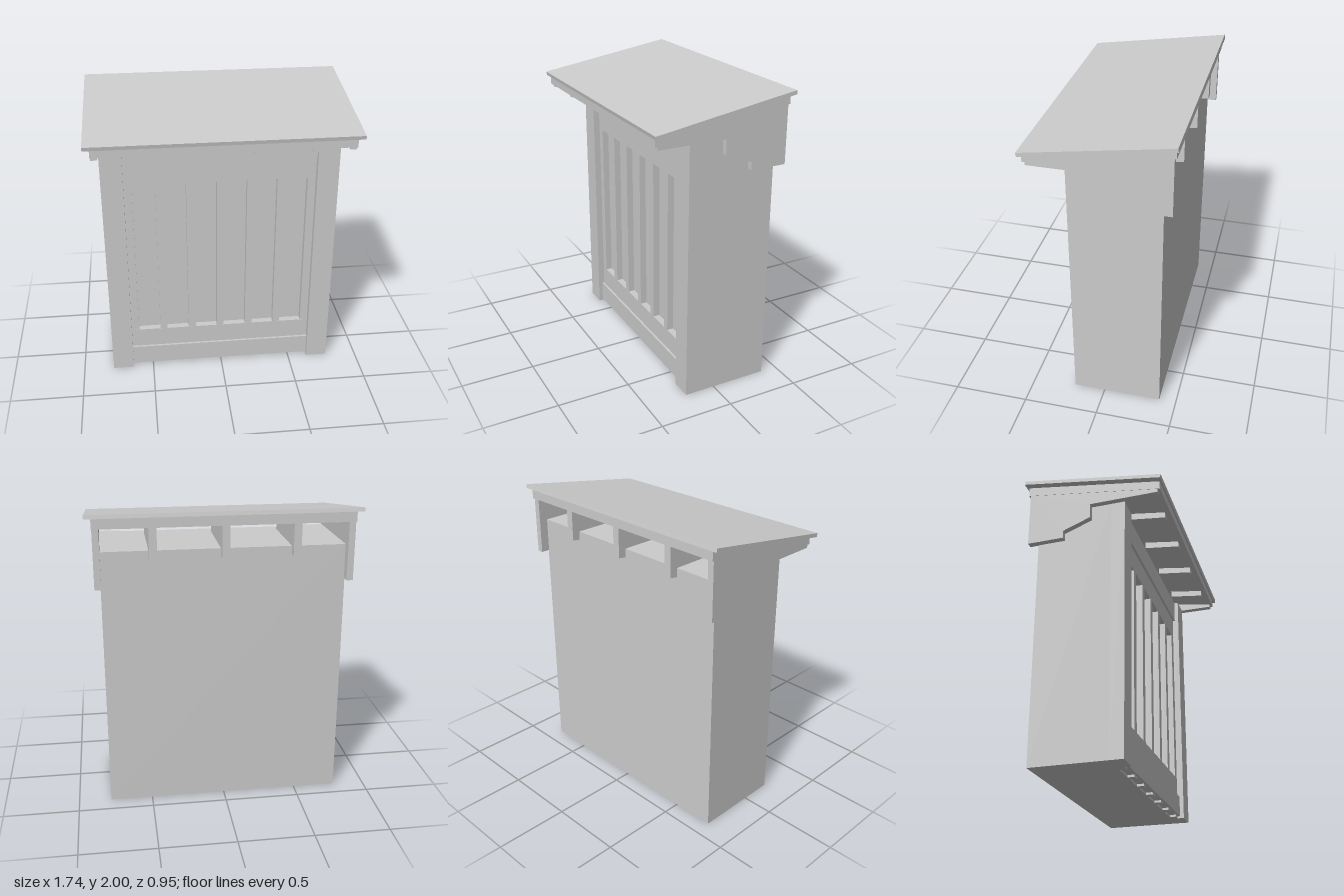
import * as THREE from 'three';

const material = new THREE.MeshStandardMaterial({ color: 0xcccccc, flatShading: true });

// Box given by its min/max extents
function box(name, [x0, x1], [y0, y1], [z0, z1]) {
  const g = new THREE.BoxGeometry(x1 - x0, y1 - y0, z1 - z0);
  g.translate((x0 + x1) / 2, (y0 + y1) / 2, (z0 + z1) / 2);
  const m = new THREE.Mesh(g, material);
  m.name = name;
  return m;
}

// Side profile of [z, y] points, extruded along x and centred on x
function profile(name, points, x, width) {
  const shape = new THREE.Shape(points.map(([z, y]) => new THREE.Vector2(z, y)));
  const g = new THREE.ExtrudeGeometry(shape, { depth: width, bevelEnabled: false });
  g.rotateY(-Math.PI / 2);
  g.translate(x + width / 2, 0, 0);
  const m = new THREE.Mesh(g, material);
  m.name = name;
  return m;
}

export function createModel() {
  const model = new THREE.Group();
  model.name = 'slattedCabinet';

  // Main body with its recessed front panel
  model.add(box('body', [-0.785, 0.785], [0, 1.75], [-0.385, 0.12]));

  // Corner posts
  for (const s of [-1, 1]) {
    const x = [s * 0.64, s * 0.785].sort((a, b) => a - b);
    model.add(box('cornerPost', x, [0, 1.75], [0.12, 0.21]));
  }

  // Vertical slats: half-hidden ones at the ends, full ones between
  for (let i = 0; i <= 6; i++) {
    const x = -0.612 + i * 0.204;
    const half = 0.025;
    const x0 = i === 0 ? -0.64 : x - half;
    const x1 = i === 6 ? 0.64 : x + half;
    model.add(box('slat', [x0, x1], [0, 1.5], [0.12, 0.165]));
  }

  // Front rails and boards
  const span = [-0.64, 0.64];
  model.add(box('bottomRail', span, [0.155, 0.295], [0.12, 0.166]));
  model.add(box('kickBoard', span, [0.015, 0.155], [0.12, 0.182]));
  model.add(box('topRail', span, [1.44, 1.59], [0.12, 0.166]));
  model.add(box('headBoard', span, [1.59, 1.75], [0.12, 0.182]));

  // Sloping roof and the trim layer below it
  model.add(profile('roof', [[0.47, 1.825], [0.475, 1.85], [-0.47, 2], [-0.475, 1.975]], 0, 1.735));
  model.add(profile('roofTrim',
    [[0.457, 1.77], [0.457, 1.828], [-0.457, 1.973], [-0.457, 1.908]], 0, 1.65));

  // Shaped side brackets
  const bracket = [[0.44, 1.775], [0.44, 1.75], [-0.016, 1.75], [-0.016, 1.648], [-0.2, 1.578],
    [-0.2, 1.525], [-0.445, 1.525], [-0.445, 1.912]];
  for (const s of [-1, 1]) model.add(profile('sideBracket', bracket, s * 0.802, 0.042));

  // Rafter tails under the rear eave
  const rear = [[0.1, 1.74], [0.1, 1.825], [-0.44, 1.908], [-0.44, 1.7], [-0.37, 1.69]];
  for (let i = -1; i <= 1; i++) model.add(profile('rearRafter', rear, i * 0.455, 0.05));

  // Small rafter tails under the front eave
  const front = [[0.42, 1.735], [0.42, 1.778], [0.18, 1.812], [0.18, 1.765]];
  for (let i = 0; i < 4; i++) model.add(profile('frontRafter', front, -0.535 + i * 0.37, 0.042));

  model.position.x = -0.003;
  return model;
}
